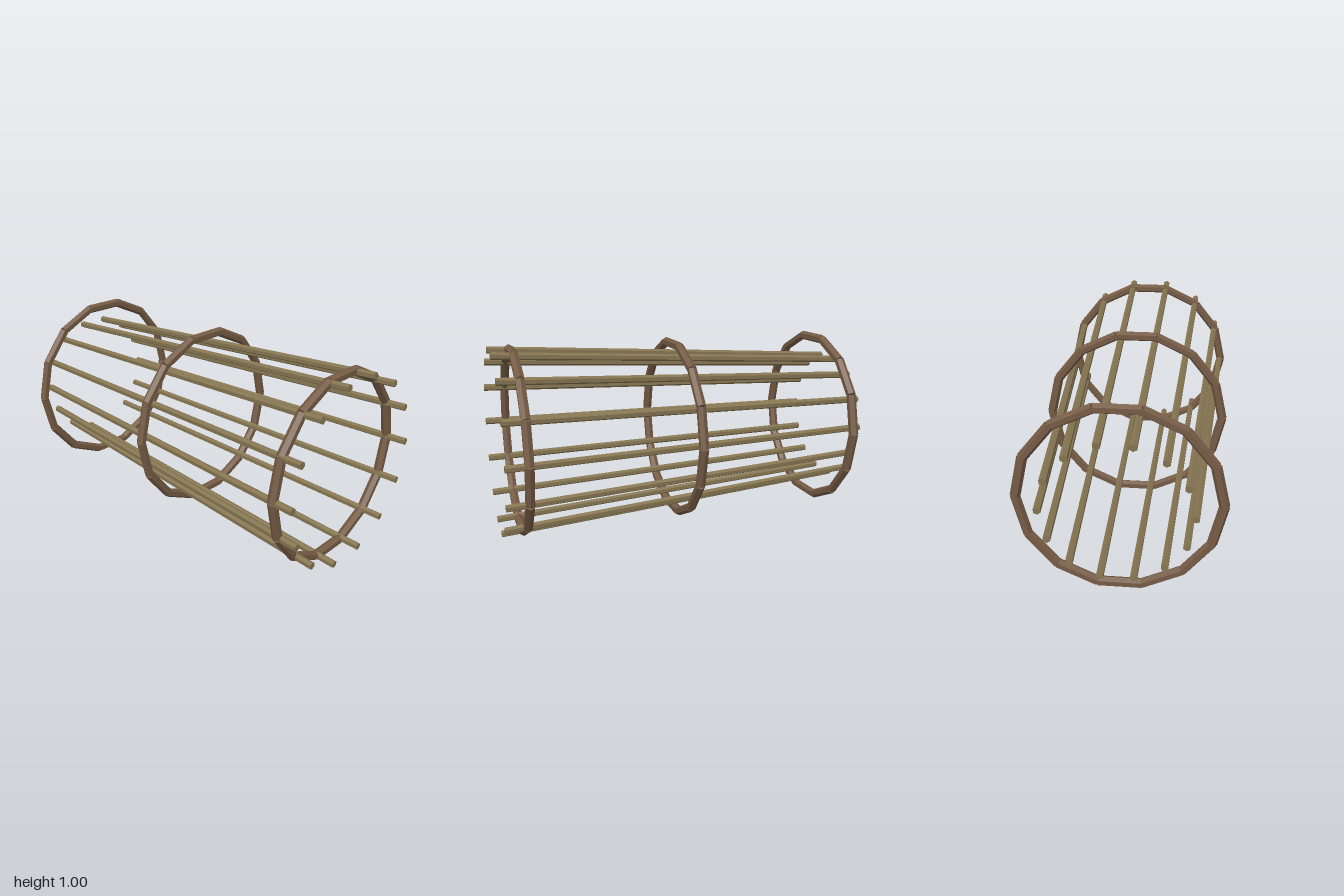
import * as THREE from 'three';

const SIDES = 14, CENTER_Y = 0.501, RING_RADIUS = 0.488;

export function createModel() {
  const model = new THREE.Group();
  model.name = 'taperedCage';
  const ringWood = new THREE.MeshStandardMaterial({ color: 0x755b45, flatShading: true });
  ringWood.name = 'brown wood';
  const rodWood = new THREE.MeshStandardMaterial({ color: 0x857551, flatShading: true });
  rodWood.name = 'olive wood';

  // Point on a circle around the cage axis
  const polar = (k, radius, z) => {
    const a = (k / SIDES) * Math.PI * 2;
    return new THREE.Vector3(Math.cos(a) * radius, CENTER_Y + Math.sin(a) * radius, z);
  };

  // Six-sided bar between two points, rolled about its own axis
  const bar = (name, from, to, radius, roll, material, parent) => {
    const dir = to.clone().sub(from);
    const geometry = new THREE.CylinderGeometry(radius, radius, dir.length(), 6);
    geometry.rotateY(roll);
    const mesh = new THREE.Mesh(geometry, material);
    mesh.name = name;
    mesh.position.copy(from).add(to).multiplyScalar(0.5);
    mesh.quaternion.setFromUnitVectors(new THREE.Vector3(0, 1, 0), dir.normalize());
    parent.add(mesh);
  };

  // Three equal hoops of straight, butt-ended segments
  [['frontHoop', 0.885], ['middleHoop', 0], ['backHoop', -0.885]].forEach(([name, z]) => {
    const hoop = new THREE.Group();
    hoop.name = name;
    for (let k = 0; k < SIDES; k++) {
      bar('hoopSegment', polar(k, RING_RADIUS, z), polar(k + 1, RING_RADIUS, z), 0.0255, Math.PI / 6, ringWood, hoop);
    }
    model.add(hoop);
  });

  // Long rods converging toward the back
  const rods = new THREE.Group();
  rods.name = 'rods';
  for (let k = 0; k < SIDES; k++) {
    bar('rod', polar(k, 0.36, -1), polar(k, RING_RADIUS, 1), 0.0195, 0, rodWood, rods);
  }
  model.add(rods);
  return model;
}
